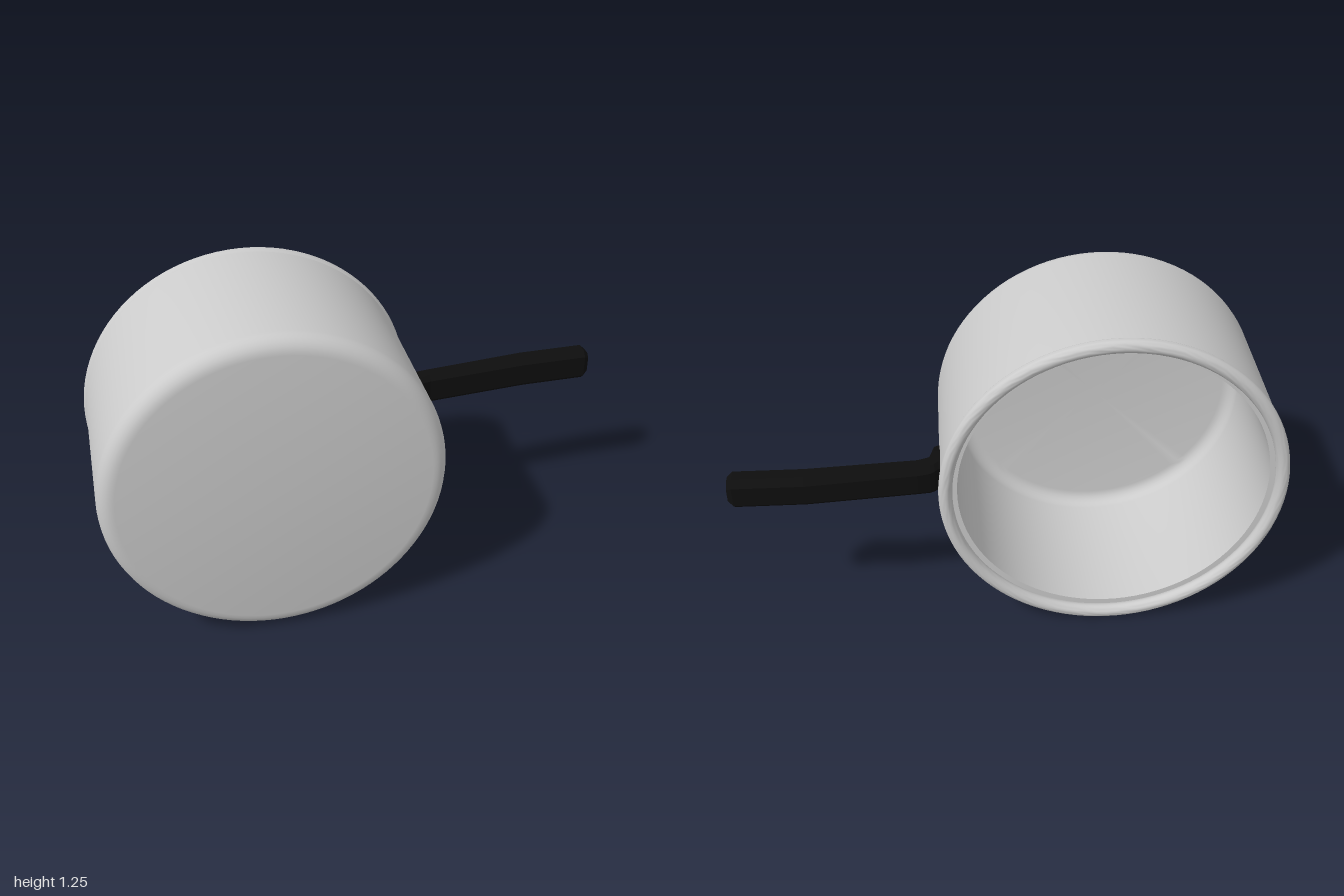
import * as THREE from 'three';
import { toCreasedNormals } from 'three/addons/utils/BufferGeometryUtils.js';

const CX = -0.373, CY = 0.63;

// Points along an arc in the (radius, z) profile plane
function arc(r, z, rad, from, to, steps) {
  return Array.from({ length: steps + 1 }, (_, i) => {
    const a = from + (to - from) * i / steps;
    return new THREE.Vector2(r + rad * Math.cos(a), z + rad * Math.sin(a));
  });
}

// Chamfered rectangular section at x, listed counter-clockwise as seen from +x
function section([x, back, front, hy, cb, fy, fz]) {
  return [
    [back, -hy + cb], [back, hy - cb], [back + cb, hy], [front - fz, hy],
    [front, hy - fy], [front, -hy + fy], [front - fz, -hy], [back + cb, -hy],
  ].map(([z, y]) => [x, CY + y, z]);
}

// Skin between successive sections, with both ends capped
function loft(rings) {
  const pos = [], n = rings[0].length;
  const tri = (...p) => p.forEach(v => pos.push(...v));
  for (let i = 0; i < rings.length - 1; i++) {
    for (let j = 0; j < n; j++) {
      const k = (j + 1) % n;
      tri(rings[i][j], rings[i][k], rings[i + 1][k]);
      tri(rings[i][j], rings[i + 1][k], rings[i + 1][j]);
    }
  }
  const first = rings[0], last = rings[rings.length - 1];
  for (let j = 1; j < n - 1; j++) {
    tri(last[0], last[j], last[j + 1]);
    tri(first[0], first[j + 1], first[j]);
  }
  const geo = new THREE.BufferGeometry();
  geo.setAttribute('position', new THREE.Float32BufferAttribute(pos, 3));
  geo.computeVertexNormals();
  return geo;
}

export function createModel() {
  const group = new THREE.Group();
  const grey = new THREE.MeshStandardMaterial({ color: 0xcccccc });
  const black = new THREE.MeshStandardMaterial({ color: 0x0e0e0e, flatShading: true });
  const add = (name, geo, mat) => {
    const mesh = new THREE.Mesh(geo, mat);
    mesh.name = name;
    group.add(mesh);
    return mesh;
  };

  // Pan: inner floor, inner wall, rolled rim, outer wall, rounded base
  const PI = Math.PI;
  const profile = [
    new THREE.Vector2(0, 0.295),
    ...arc(0.51, 0.245, 0.05, PI / 2, 0, 6),
    new THREE.Vector2(0.56, -0.3),
    ...arc(0.602, -0.315, 0.025, PI - 0.64, 2 * PI + 0.77, 16),
    ...arc(0.56, 0.28, 0.06, 0, PI / 2, 6),
    new THREE.Vector2(0, 0.34),
  ];
  const panGeo = new THREE.LatheGeometry(profile, 96).rotateX(PI / 2);
  add('pan', toCreasedNormals(panGeo, 0.6), grey).position.set(CX, CY, 0);

  // Handle: x, back z, front z, half height, back chamfer, front chamfer in y and z
  const handle = [
    [0.22, -0.21, -0.07, 0.06, 0.015, 0.018, 0.06],
    [0.25, -0.22, -0.085, 0.062, 0.02, 0.016, 0.055],
    [0.265, -0.235, -0.097, 0.063, 0.02, 0.014, 0.045],
    [0.282, -0.245, -0.155, 0.063, 0.022, 0.014, 0.02],
    [0.325, -0.252, -0.17, 0.063, 0.024, 0.02, 0.02],
    [0.725, -0.288, -0.198, 0.063, 0.025, 0.02, 0.02],
    [0.98, -0.288, -0.198, 0.063, 0.025, 0.02, 0.02],
    [1.0, -0.275, -0.211, 0.045, 0.02, 0.015, 0.015],
  ];
  add('handle', loft(handle.map(section)), black);

  // Rivet in the mounting plate, facing along the plate's slope
  const rivet = add('rivet', new THREE.CylinderGeometry(0.012, 0.012, 0.012, 20).rotateZ(-PI / 2), grey);
  rivet.position.set(0.269, CY, -0.12);
  rivet.rotation.y = -0.28;

  return group;
}
